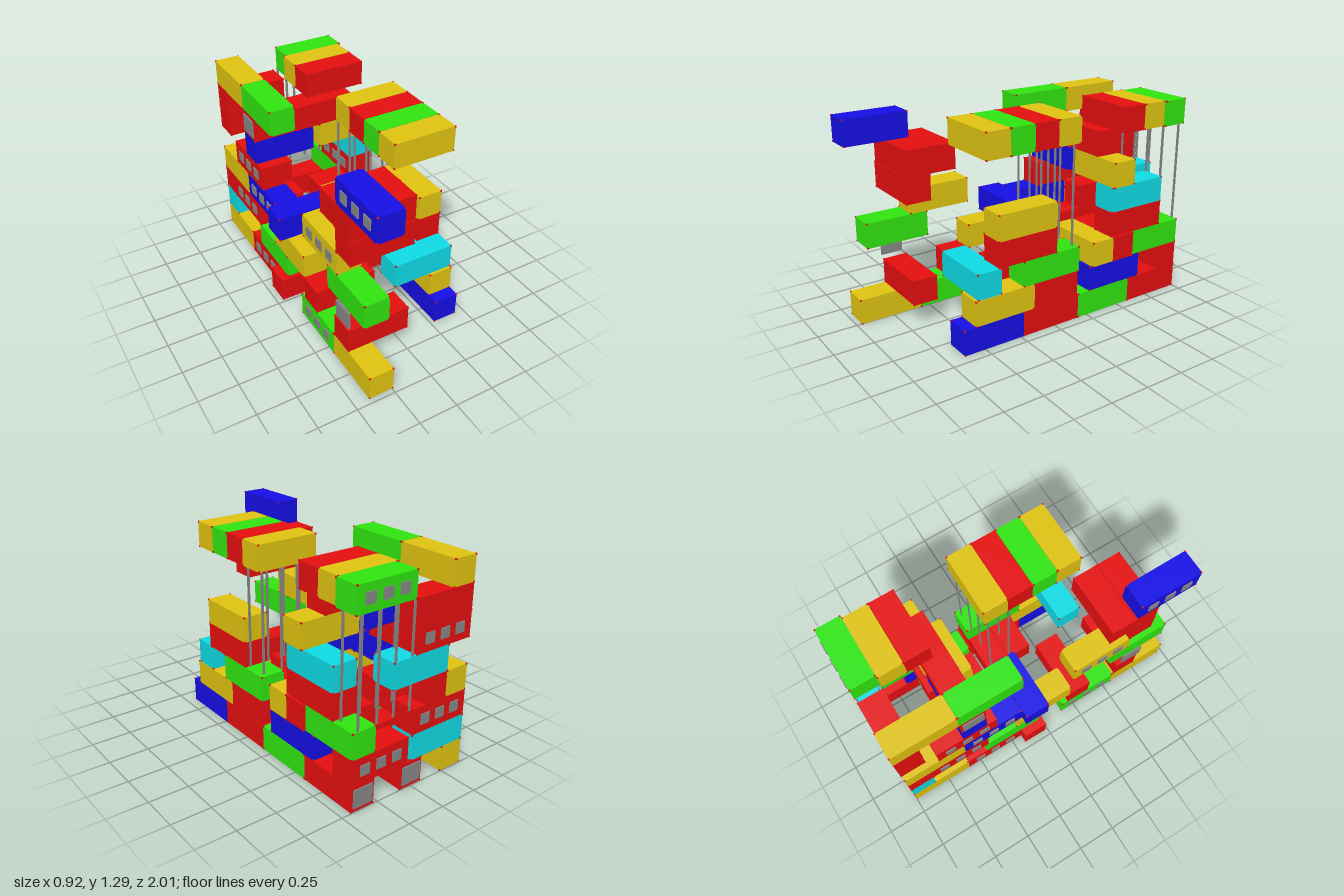
import * as THREE from 'three';
import { mergeGeometries } from 'three/addons/utils/BufferGeometryUtils.js';

// Container width, length and storey height; common column and row origins
const W = 0.16, L = 0.407, H = 0.1613;
const LEFT = -0.403, RIGHT = 0.278, INNER = -0.242, DECK = 0.03;
const BACK = -0.997, SECOND = BACK + L + 0.002, MIDDLE = -0.177, CENTRE = -0.005;

const mat = (color) => new THREE.MeshStandardMaterial({ color, flatShading: true });
const M = {
  red: mat(0xe60f0f), blue: mat(0x150fe6), green: mat(0x30e610),
  yellow: mat(0xe0c410), cyan: mat(0x0fdce6), grey: mat(0x888888),
};

function boxAt(w, h, d, x, y, z) {
  return new THREE.BoxGeometry(w, h, d).translate(x, y, z);
}

function addMesh(parent, name, geometry, material) {
  const mesh = new THREE.Mesh(geometry, material);
  mesh.name = name;
  parent.add(mesh);
}

// Small fittings on the eight corners of a container
function cornerFittings(w, h, d) {
  const parts = [];
  for (const sx of [-1, 1]) for (const sy of [-1, 1]) for (const sz of [-1, 1]) {
    parts.push(boxAt(0.009, 0.009, 0.009, sx * (w / 2 - 0.003), sy * (h / 2 - 0.003), sz * (d / 2 - 0.003)));
  }
  return mergeGeometries(parts);
}

// Three small panes on a long wall, or one large pane on an end wall.
// Built facing -z, then turned to face -x where needed.
function windowPanes(axis, kind) {
  const onSide = kind === 'side';
  const out = -(onSide ? W : L) / 2 - 0.002;
  const panes = onSide
    ? [-0.115, 0, 0.115].map((k) => boxAt(0.065, 0.065, 0.01, k, 0, out))
    : [boxAt(0.135, 0.115, 0.012, 0, 0, out)];
  const facesX = onSide === (axis === 'z');
  return mergeGeometries(panes).rotateY(facesX ? Math.PI / 2 : 0);
}

// One container; axis is the direction of its long side, (x, z) its lowest corner
function container(axis, level, x, z, color, windows) {
  const g = new THREE.Group();
  g.name = color + 'Container';
  const w = axis === 'x' ? L : W, d = axis === 'x' ? W : L, h = H - 0.001;
  addMesh(g, 'body', new THREE.BoxGeometry(w, h, d), M[color]);
  addMesh(g, 'cornerFittings', cornerFittings(w, h, d), M.red);
  if (windows) addMesh(g, 'windows', windowPanes(axis, windows), M.grey);
  g.position.set(x + w / 2, (level + 0.5) * H, z + d / 2);
  return g;
}

export function createModel() {
  const model = new THREE.Group();
  model.name = 'stackedContainers';

  // A row of containers running forward from z, each 'color' or 'color:windows'
  const row = (axis, level, x, z, list) => {
    const step = axis === 'x' ? W + 0.003 : L + 0.003;
    list.split(' ').forEach((item, i) => {
      model.add(container(axis, level, x, z + i * step, ...item.split(':')));
    });
  };
  const along = (...args) => row('z', ...args);
  const across = (...args) => row('x', ...args);

  // Ground storey
  along(0, RIGHT, BACK, 'red:end green red:side blue');
  along(0, LEFT, BACK, 'yellow red:side');
  along(0, LEFT, 0.15, 'green:side yellow');
  along(0, -0.08, BACK, 'red:end red');
  along(0, INNER, SECOND, 'red');
  along(0, 0.09, SECOND, 'red');
  across(0, -0.458, MIDDLE, 'red');

  // Second storey
  across(1, LEFT, BACK, 'cyan');
  across(1, LEFT, 0.193, 'red');
  across(1, LEFT, 0.57, 'red');
  across(1, DECK, BACK, 'red:side');
  across(1, DECK, -0.168, 'red red');
  along(1, RIGHT, 0.155, 'yellow');
  along(1, RIGHT, -0.67, 'blue');
  along(1, -0.125, SECOND, 'red');
  along(1, LEFT, -0.448, 'green');

  // Third storey
  along(2, RIGHT, BACK, 'green');
  along(2, RIGHT, MIDDLE, 'green');
  along(2, LEFT, -0.835, 'red:side');
  along(2, INNER, -0.835, 'red');
  along(2, LEFT, -0.215, 'yellow');
  across(2, LEFT, BACK, 'red:side');
  across(2, 0.045, -0.6, 'red yellow');
  across(2, DECK, 0.385, 'cyan');

  // Fourth storey
  along(3, LEFT, BACK, 'yellow blue:side');
  along(3, LEFT, 0.49, 'green');
  along(3, INNER, BACK, 'red');
  along(3, RIGHT, -0.833, 'red:side');
  along(3, RIGHT, CENTRE, 'red:side');
  across(3, -0.455, MIDDLE, 'blue');

  // Fifth storey
  along(4, LEFT, -0.763, 'red:side');
  along(4, LEFT, 0.195, 'yellow:side');
  along(4, RIGHT, -0.833, 'cyan');
  along(4, RIGHT, CENTRE, 'yellow:side');
  across(4, INNER, BACK, 'cyan');

  // Sixth storey
  across(5, LEFT, BACK, 'red:side');
  across(5, LEFT, -0.583, 'blue');
  across(5, 0.048, -0.583, 'yellow');
  across(5, LEFT, 0.588, 'red');

  // Seventh storey
  across(6, LEFT, BACK, 'red');
  across(6, LEFT, -0.583, 'red:end');
  across(6, -0.115, -0.582, 'red');
  across(6, LEFT, 0.42, 'red red');

  // Top storey
  along(7, LEFT, BACK, 'yellow green');
  along(7, LEFT, 0.592, 'blue:side');
  across(7, DECK, -0.168, 'yellow red green yellow');
  across(7, 0.013, -0.837, 'yellow red');
  across(7, DECK, BACK, 'green:side');

  // Free-standing pane at the open front corner
  addMesh(model, 'loosePane', boxAt(0.015, 0.115, 0.14, LEFT, 0.41, 0.67), M.grey);

  // Thin flat posts carrying the two top decks
  const posts = new THREE.Group();
  posts.name = 'posts';
  for (const z of [-0.006, -0.145, -0.855, -0.99]) {
    for (const x of [0.033, 0.152, 0.27, 0.4]) {
      const bottom = x < 0.1 && z > -0.5 ? 0.27 : 3 * H, top = 7 * H;
      addMesh(posts, 'post', boxAt(0.016, top - bottom, 0.005, x, (top + bottom) / 2, z), M.grey);
    }
  }
  model.add(posts);
  return model;
}
